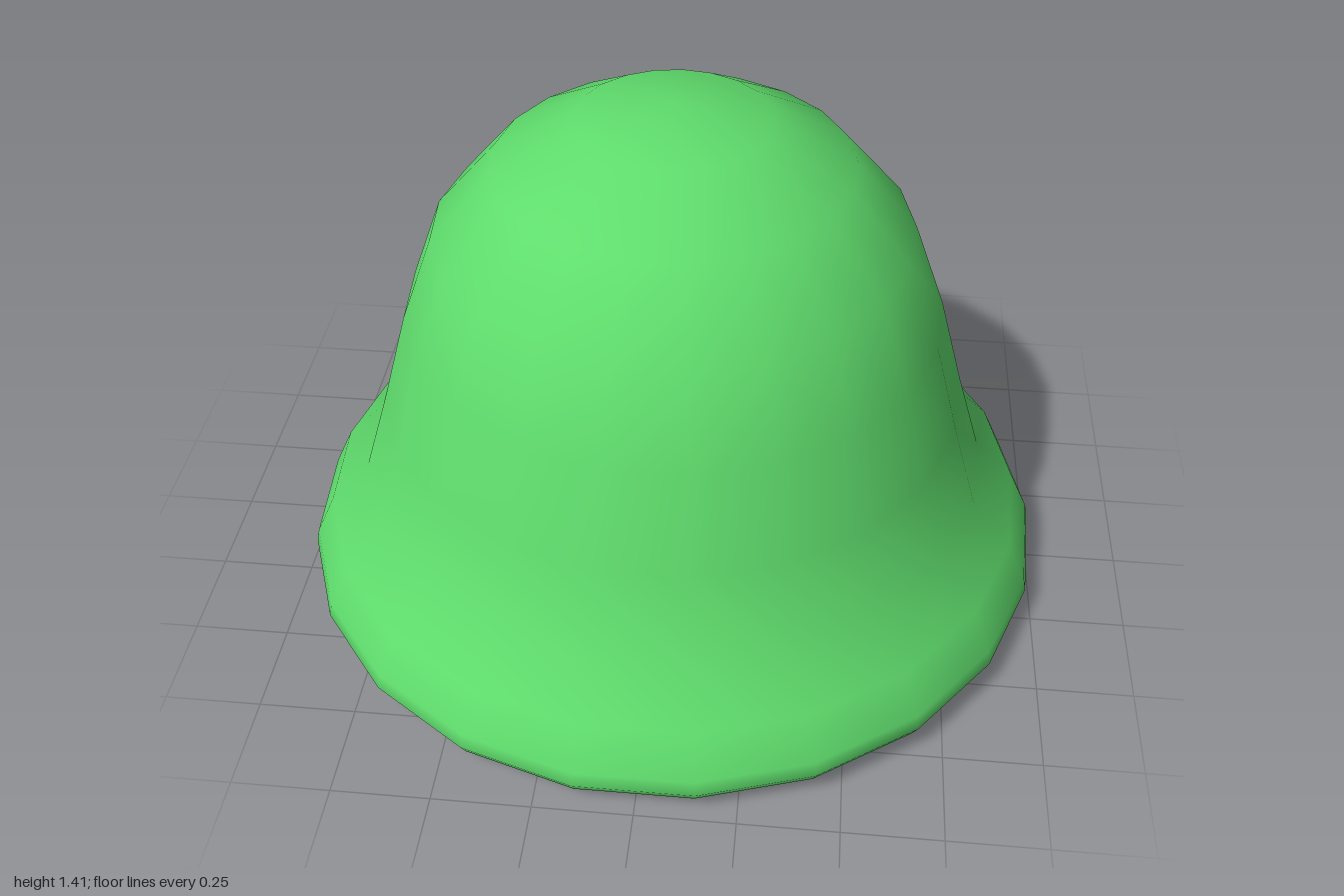
import * as THREE from 'three';

export function createModel() {
  const group = new THREE.Group();
  const material = new THREE.MeshStandardMaterial({ color: 0x5fdc6c });

  // Half outline from the bottom centre, round the rim, up to the crown
  const outline = [
    [0, 0], [0.925, 0.044], [0.95, 0.046], [0.985, 0.056], [1.003, 0.088],
    [0.995, 0.126], [0.943, 0.238], [0.834, 0.355], [0.765, 0.58], [0.695, 0.83],
    [0.61, 1.06], [0.452, 1.245], [0.243, 1.365], [0, 1.406],
  ].map(([r, y]) => new THREE.Vector2(r, y));
  const geometry = new THREE.LatheGeometry(outline, 21, Math.PI);

  // Straight normals at both poles keep the crown and underside smooth
  const { position, normal } = geometry.attributes;
  for (let i = 0; i < position.count; i++) {
    const row = i % outline.length;
    if (row === 0) normal.setXYZ(i, 0, -1, 0);
    if (row === outline.length - 1) normal.setXYZ(i, 0, 1, 0);
  }

  // Domed body with flared brim
  const dome = new THREE.Mesh(geometry, material);
  dome.name = 'brimmedDome';
  dome.position.z = 0.005;
  group.add(dome);
  return group;
}
